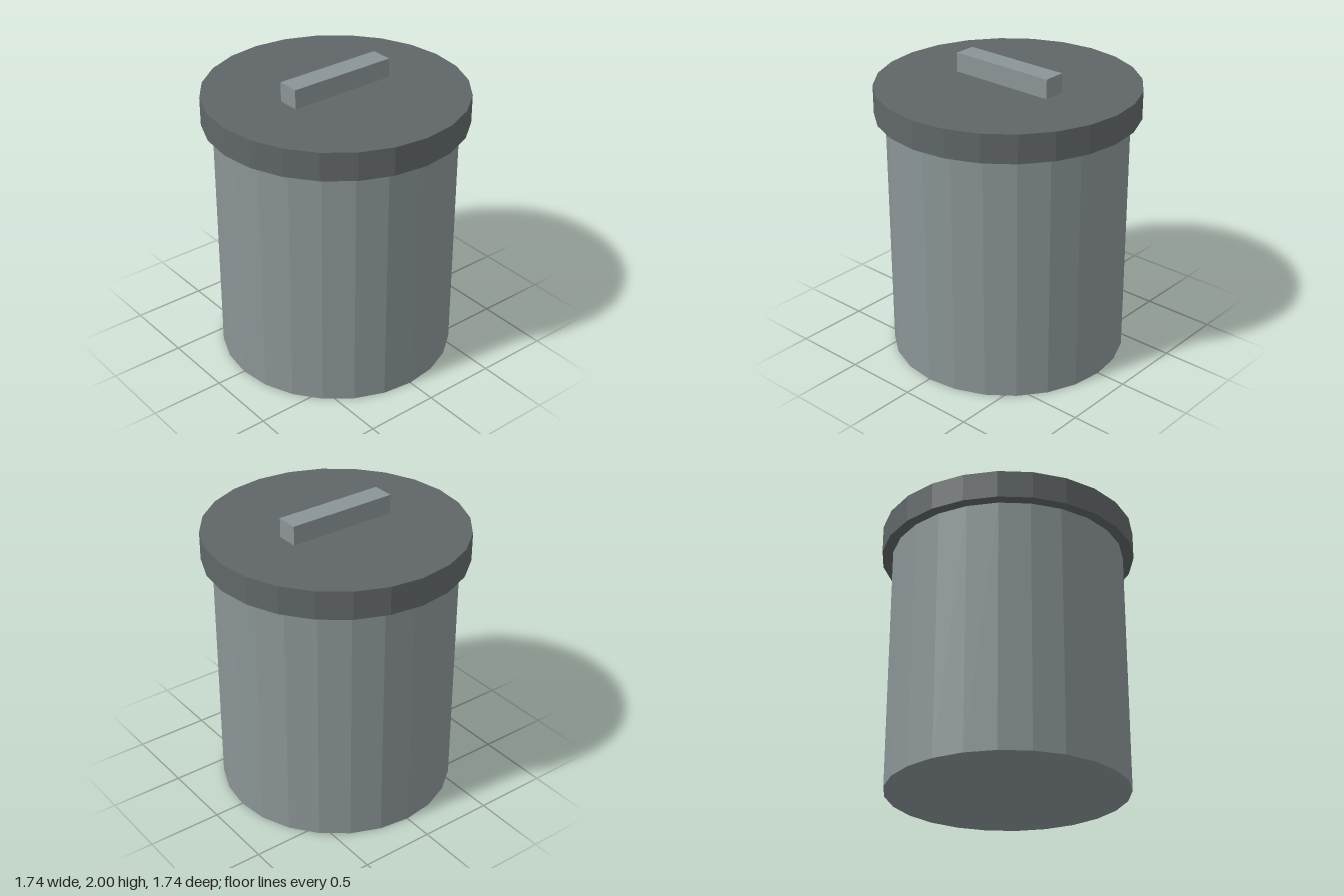
import * as THREE from 'three';

export function createModel() {
  const model = new THREE.Group();
  model.name = 'liddedBin';

  const makeMaterial = (name, color) => {
    const material = new THREE.MeshStandardMaterial({ color, flatShading: true });
    material.name = name;
    return material;
  };
  const bodyGrey = makeMaterial('bodyGrey', 0x8a9496);
  const lidGrey = makeMaterial('lidGrey', 0x606668);

  const addPart = (name, geometry, material, bottom, top) => {
    const mesh = new THREE.Mesh(geometry, material);
    mesh.name = name;
    mesh.position.y = (bottom + top) / 2;
    model.add(mesh);
  };
  const drum = (radius, bottom, top) =>
    new THREE.CylinderGeometry(radius, radius, top - bottom, 24);

  // Straight-sided container
  addPart('body', drum(0.795, 0, 1.68), bodyGrey, 0, 1.68);
  // Overhanging lid
  addPart('lid', drum(0.868, 1.68, 1.87), lidGrey, 1.68, 1.87);
  // Bar handle across the lid
  addPart('handle', new THREE.BoxGeometry(0.76, 0.13, 0.15), bodyGrey, 1.87, 2);

  return model;
}
